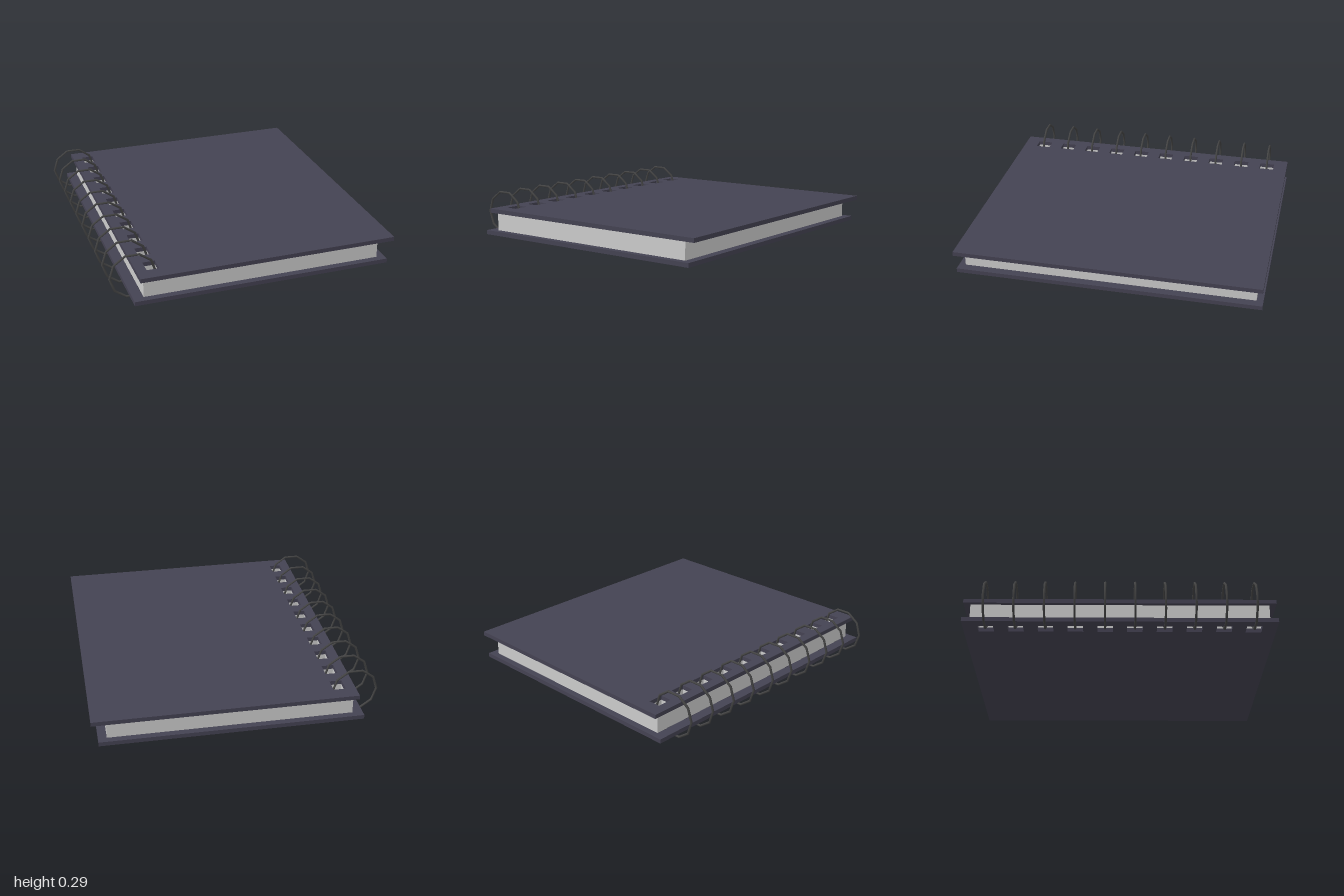
import * as THREE from 'three';

const COUNT = 10, PITCH = 0.19;
const ringZ = i => (i - (COUNT - 1) / 2) * PITCH;

// Flat slab lying in the xz plane, punched with one row of binding holes
function punchedSlab(name, x0, x1, y0, y1, halfZ, holeX0, holeX1, material) {
  const rect = (target, a, b, c, d) => {
    target.moveTo(a, c);
    target.lineTo(b, c);
    target.lineTo(b, d);
    target.lineTo(a, d);
    target.closePath();
    return target;
  };
  const shape = rect(new THREE.Shape(), x0, x1, -halfZ, halfZ);
  for (let i = 0; i < COUNT; i++) {
    const z = ringZ(i);
    shape.holes.push(rect(new THREE.Path(), holeX0, holeX1, z - 0.05, z + 0.05));
  }
  const geometry = new THREE.ExtrudeGeometry(shape, { depth: y1 - y0, bevelEnabled: false });
  geometry.rotateX(-Math.PI / 2).translate(0, y0, 0);
  const mesh = new THREE.Mesh(geometry, material);
  mesh.name = name;
  return mesh;
}

export function createModel() {
  const model = new THREE.Group();
  model.name = 'ringNotebook';

  const coverMat = new THREE.MeshStandardMaterial({ color: 0x444252 });
  const paperMat = new THREE.MeshStandardMaterial({ color: 0xcccccc });
  const wireMat = new THREE.MeshStandardMaterial({ color: 0x444444 });

  // Covers, the lower one shifted towards the spine, with the page block between
  model.add(
    punchedSlab('frontCover', -0.765, 0.93, 0.17, 0.198, 1, -0.70, -0.62, coverMat),
    punchedSlab('backCover', -0.805, 0.89, 0.018, 0.046, 1, -0.74, -0.66, coverMat),
    punchedSlab('pages', -0.738, 0.835, 0.046, 0.17, 0.957, -0.70, -0.62, paperMat)
  );

  // Ten-sided binding rings threaded through the holes
  const rings = new THREE.Group();
  rings.name = 'bindingRings';
  const ringGeometry = new THREE.TorusGeometry(0.147, 0.008, 6, 10);
  for (let i = 0; i < COUNT; i++) {
    const ring = new THREE.Mesh(ringGeometry, wireMat);
    ring.name = 'bindingRing';
    ring.position.set(-0.775, 0.148, ringZ(i));
    rings.add(ring);
  }
  model.add(rings);
  return model;
}
